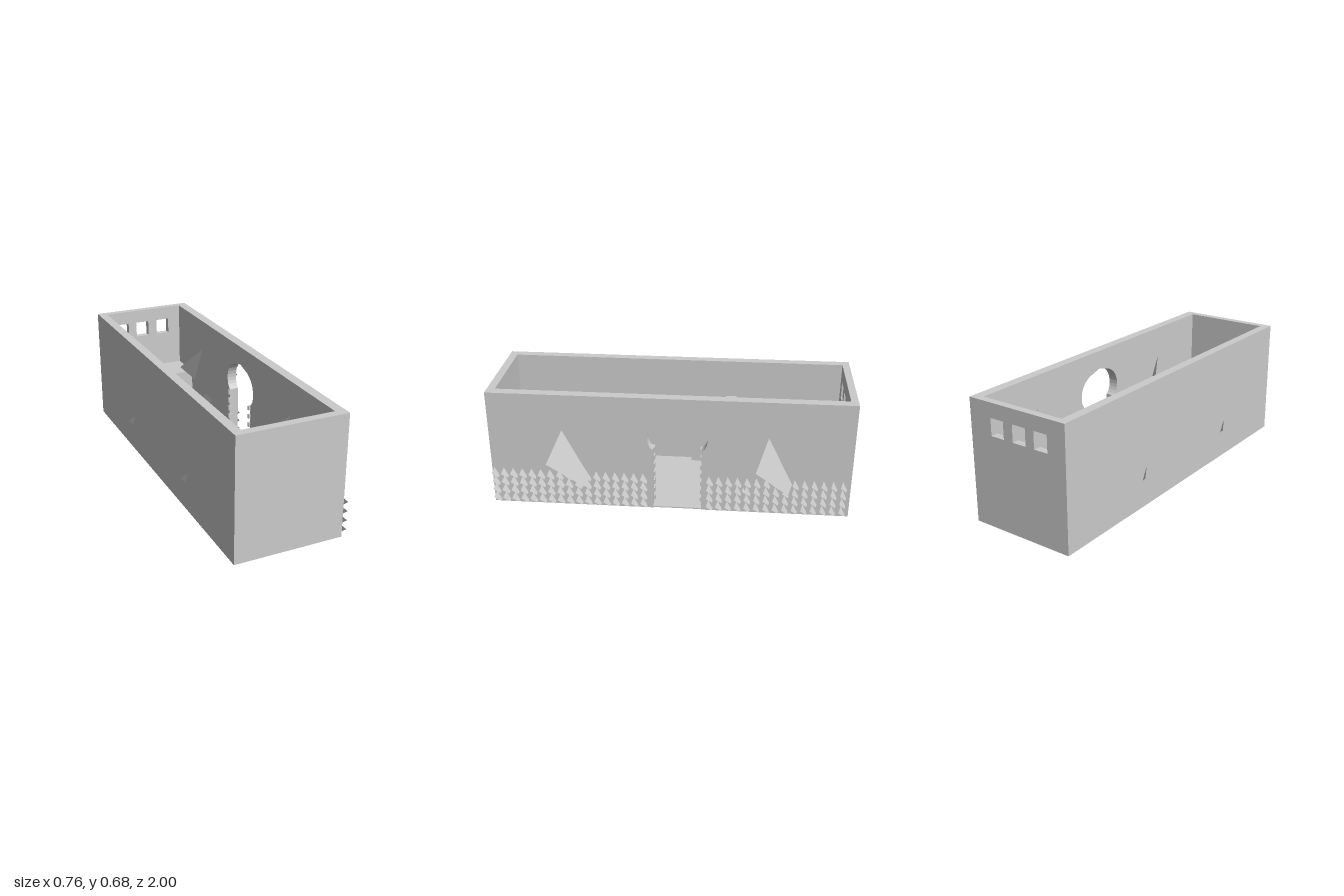
import * as THREE from 'three';

const grey = new THREE.MeshStandardMaterial({ color: 0xcccccc, side: THREE.DoubleSide, flatShading: true });
const H = 0.68, X0 = -0.36, X1 = 0.24, IN0 = -0.31, IN1 = 0.185, Z0 = -0.96, Z1 = 0.955;

// All tilted slabs share one orientation, spanned by U and V
const U = new THREE.Vector3(0.673, -0.673, 0.3125).normalize();
const V = new THREE.Vector3(0.342, 0.665, 0.665).normalize();
const TILT = new THREE.Matrix4().makeBasis(U, V, new THREE.Vector3().crossVectors(U, V));

function add(parent, name, geometry, x = 0, y = 0, z = 0) {
  const mesh = new THREE.Mesh(geometry, grey);
  mesh.name = name;
  mesh.position.set(x, y, z);
  parent.add(mesh);
  return mesh;
}

function block(parent, name, x0, x1, y0, y1, z0, z1) {
  return add(parent, name, new THREE.BoxGeometry(x1 - x0, y1 - y0, z1 - z0),
    (x0 + x1) / 2, (y0 + y1) / 2, (z0 + z1) / 2);
}

function tiltedSquare(parent, name, size, x, y, z) {
  const geometry = new THREE.PlaneGeometry(size, size).applyMatrix4(TILT);
  return add(parent, name, geometry, x, y, z);
}

// Side wall outline (z, y) with a horseshoe doorway cut from the ground up
function wallWithDoor(c) {
  const s = new THREE.Shape();
  s.moveTo(Z0, 0);
  s.lineTo(c - 0.135, 0);
  s.lineTo(c - 0.135, 0.37);
  s.bezierCurveTo(c - 0.18, 0.40, c - 0.185, 0.51, c - 0.09, 0.55);
  s.lineTo(c, 0.575);
  s.lineTo(c + 0.09, 0.55);
  s.bezierCurveTo(c + 0.185, 0.51, c + 0.18, 0.40, c + 0.135, 0.37);
  s.lineTo(c + 0.135, 0);
  s.lineTo(Z1, 0);
  s.lineTo(Z1, H);
  s.lineTo(Z0, H);
  s.closePath();
  return s;
}

function rectHole(x0, x1, y0, y1) {
  const p = new THREE.Path();
  p.moveTo(x0, y0);
  p.lineTo(x0, y1);
  p.lineTo(x1, y1);
  p.lineTo(x1, y0);
  p.closePath();
  return p;
}

// Round-topped niche
function archHole(c, r, y0, spring) {
  const p = new THREE.Path();
  p.moveTo(c - r, y0);
  p.lineTo(c + r, y0);
  p.lineTo(c + r, spring);
  p.absarc(c, spring, r, 0, Math.PI, false);
  p.closePath();
  return p;
}

function extrude(shape, depth) {
  return new THREE.ExtrudeGeometry(shape, { depth, bevelEnabled: false, curveSegments: 10 });
}

export function createModel() {
  const root = new THREE.Group();
  root.name = 'roofless hall';

  // Front wall, solid
  block(root, 'frontWall', X0, X1, 0, H, Z1, 1);

  // Back wall with three windows
  const back = new THREE.Shape();
  back.moveTo(X0, 0);
  back.lineTo(X1, 0);
  back.lineTo(X1, H);
  back.lineTo(X0, H);
  back.closePath();
  for (const c of [-0.21, -0.075, 0.065]) back.holes.push(rectHole(c - 0.041, c + 0.041, 0.505, 0.60));
  add(root, 'backWall', extrude(back, 0.04), 0, 0, -1);

  // Entrance wall with the open doorway
  const right = add(root, 'entranceWall', extrude(wallWithDoor(-0.045), X1 - IN1), X1, 0, 0);
  right.rotation.y = -Math.PI / 2;

  // Opposite wall: recessed blind door and niches, closed by an outer skin
  const left = wallWithDoor(0.045);
  left.holes.push(
    archHole(-0.325, 0.033, 0.44, 0.487),
    rectHole(-0.43, -0.28, 0.10, 0.34),
    archHole(-0.605, 0.1, 0.02, 0.355));
  const leftMesh = add(root, 'nicheWall', extrude(left, 0.04), IN0, 0, 0);
  leftMesh.rotation.y = -Math.PI / 2;
  block(root, 'nicheWallSkin', X0, -0.35, 0, H, Z0, Z1);

  // Floor, thresholds and raised platform at the back
  block(root, 'floor', IN0, IN1, 0.003, 0.01, Z0, Z1);
  block(root, 'doorThreshold', IN1, X1, 0.003, 0.01, -0.18, 0.09);
  block(root, 'blindDoorThreshold', -0.35, IN0, 0.003, 0.01, -0.09, 0.18);
  block(root, 'platform', IN0, IN1, 0.01, 0.29, Z0, -0.75);

  // Rows of small tilted tiles along the foot of the entrance wall
  const tiles = new THREE.Group();
  tiles.name = 'wallTiles';
  root.add(tiles);
  for (let row = 0; row < 4; row++) {
    for (let i = 0; i < 38; i++) {
      const z = 0.975 - i * 0.0525;
      if (z < 0.09 && z > -0.19) continue;
      tiltedSquare(tiles, 'wallTile', 0.05, 0.242, 0.036 + row * 0.052, z);
    }
  }

  // Toothed door jambs
  for (const z of [0.087, -0.177]) {
    for (let i = 0; i < 7; i++) {
      const y = 0.03 + i * 0.052;
      block(root, 'jambTooth', IN1 - 0.012, IN1 + 0.02, y, y + 0.026, z - 0.006, z + 0.006);
    }
  }

  // Large and small tilted slabs piercing the side walls
  for (const z of [0.52, -0.61]) tiltedSquare(root, 'largeSlab', 0.277, 0.24, 0.33, z);
  for (const z of [0.54, -0.48]) tiltedSquare(root, 'smallSlab', 0.153, 0.178, 0.14, z);
  for (const z of [0.478, -0.325]) tiltedSquare(root, 'nicheSlab', 0.153, -0.307, 0.18, z);

  return root;
}
